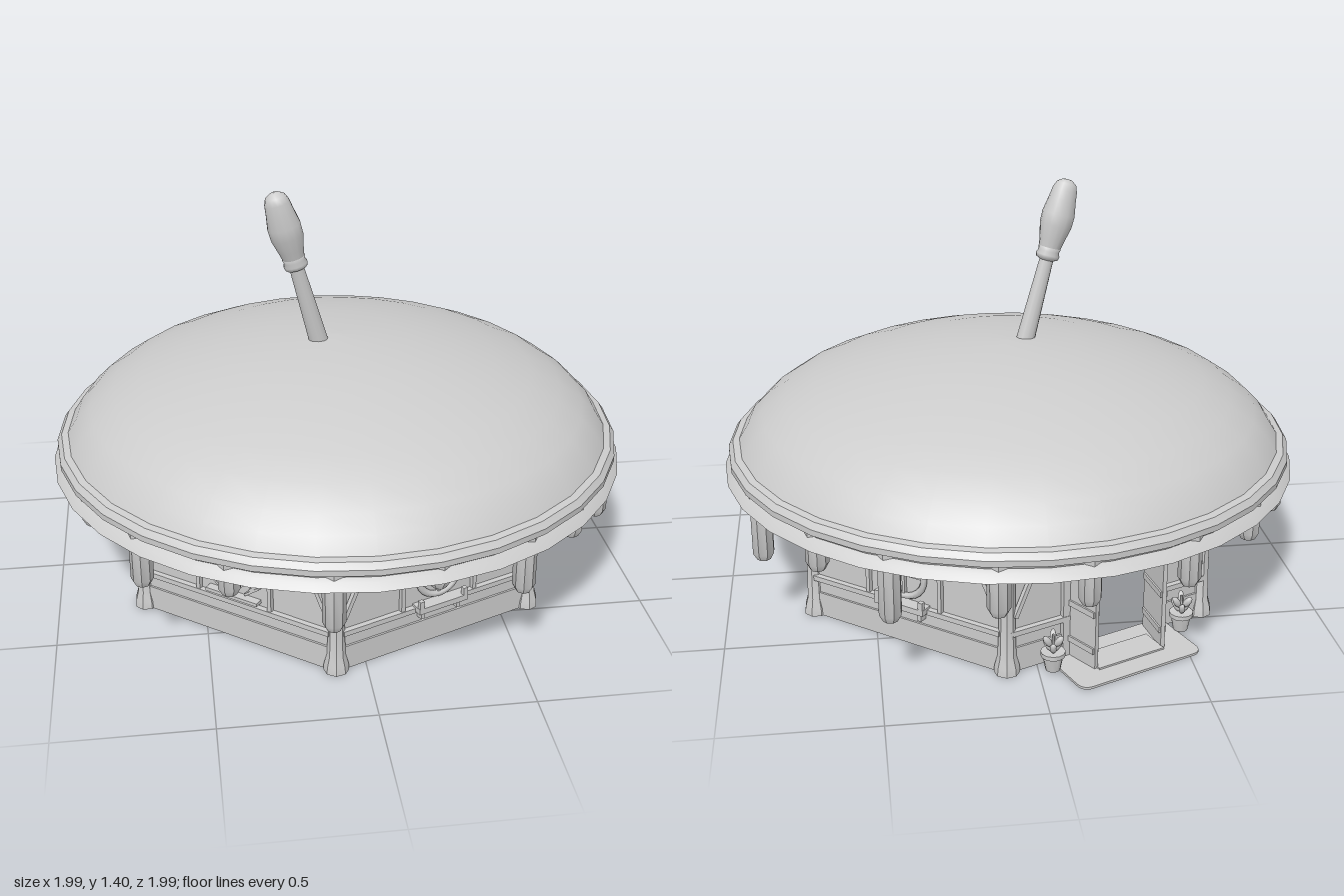
import * as THREE from 'three';
import { toCreasedNormals } from 'three/addons/utils/BufferGeometryUtils.js';

const clay = new THREE.MeshStandardMaterial({ color: 0xcccccc, side: THREE.DoubleSide });
clay.name = 'pale grey';

const SIDE = 0.757, APOTHEM = 0.655, FIRST = 7.6;
const rad = THREE.MathUtils.degToRad;

function add(parent, name, geo, x = 0, y = 0, z = 0) {
  const m = new THREE.Mesh(geo, clay);
  m.name = name;
  m.position.set(x, y, z);
  parent.add(m);
  return m;
}
const box = (parent, name, w, h, d, x, y, z) => add(parent, name, new THREE.BoxGeometry(w, h, d), x, y, z);

function lathe(points, segments, crease) {
  const g = new THREE.LatheGeometry(points.map(p => new THREE.Vector2(p[0], p[1])), segments);
  return crease ? toCreasedNormals(g, crease) : g;
}

// straight timber between two points in the wall plane
function beam(parent, name, x1, y1, x2, y2, thick, z) {
  const m = box(parent, name, Math.hypot(x2 - x1, y2 - y1), thick, 0.016, (x1 + x2) / 2, (y1 + y2) / 2, z);
  m.rotation.z = Math.atan2(y2 - y1, x2 - x1);
}

function heartShape(s) {
  const h = new THREE.Shape();
  h.moveTo(0, -s);
  h.bezierCurveTo(-0.35 * s, -0.6 * s, -s, -0.2 * s, -s, 0.35 * s);
  h.bezierCurveTo(-s, 1.0 * s, -0.15 * s, 1.05 * s, 0, 0.5 * s);
  h.bezierCurveTo(0.15 * s, 1.05 * s, s, 1.0 * s, s, 0.35 * s);
  h.bezierCurveTo(s, -0.2 * s, 0.35 * s, -0.6 * s, 0, -s);
  return h;
}

function heartWindow(wall) {
  const g = new THREE.Group();
  g.name = 'heartWindow';
  wall.add(g);
  add(g, 'heartPane', new THREE.ExtrudeGeometry(heartShape(0.082), { depth: 0.018, bevelEnabled: false }), 0, 0.26, 0.01);
  box(g, 'heartSill', 0.2, 0.012, 0.03, 0, 0.17, 0.022);
  for (const s of [-1, 1]) {
    for (let i = 0; i < 3; i++) beam(g, 'heartStrut', s * (0.045 + i * 0.018), 0.185 + i * 0.022, s * 0.1, 0.225 + i * 0.022 - i * 0.01, 0.008, 0.016);
    beam(g, 'heartCorner', s * 0.075, 0.315, s * 0.115, 0.345, 0.012, 0.016);
  }
}

function roundWindow(wall) {
  const g = new THREE.Group();
  g.name = 'roundWindow';
  wall.add(g);
  add(g, 'windowRing', new THREE.TorusGeometry(0.079, 0.012, 6, 24), 0, 0.255, 0.016);
  box(g, 'windowMullion', 0.01, 0.15, 0.014, 0, 0.255, 0.014);
  box(g, 'windowTransom', 0.15, 0.01, 0.014, 0, 0.255, 0.014);
  box(g, 'windowSill', 0.19, 0.02, 0.05, 0, 0.15, 0.028);
  for (const s of [-1, 1]) {
    box(g, 'sillBracket', 0.014, 0.035, 0.03, s * 0.07, 0.125, 0.02);
    box(g, 'sillPeg', 0.016, 0.03, 0.016, s * 0.085, 0.172, 0.045);
  }
}

// bead strings hanging under the eaves
function dangles(wall, spots) {
  for (const [x, low] of spots) {
    box(wall, 'dangleString', 0.003, 0.46 - low, 0.003, x, (0.46 + low) / 2, 0.025);
    for (let i = 0; i < 2; i++) {
      const b = add(wall, 'dangleBead', new THREE.SphereGeometry(0.013, 8, 6), x, low + i * 0.05, 0.025);
      b.scale.y = 1.4;
    }
  }
}

function plainWall(wall, round) {
  box(wall, 'wallPanel', SIDE, 0.46, 0.016, 0, 0.23, 0);
  box(wall, 'skirting', SIDE - 0.05, 0.085, 0.014, 0, 0.043, 0.008);
  box(wall, 'lowRail', SIDE - 0.03, 0.018, 0.026, 0, 0.143, 0.014);
  for (const s of [-1, 1]) box(wall, 'stud', 0.014, 0.31, 0.02, s * 0.14, 0.3, 0.014);
  if (round) roundWindow(wall); else heartWindow(wall);
  dangles(wall, [[-0.24, 0.35], [-0.06, 0.4], [0.19, 0.38], [0.25, 0.36]]);
}

function pottedPlant(parent, x, z) {
  const g = new THREE.Group();
  g.name = 'pottedPlant';
  g.position.set(x, 0.008, z);
  parent.add(g);
  add(g, 'pot', lathe([[0, 0], [0.024, 0], [0.034, 0.05], [0.04, 0.05], [0.04, 0.065], [0.03, 0.065], [0, 0.058]], 12, 0.6));
  for (let i = 0; i < 6; i++) {
    const a = i * Math.PI / 3;
    const leaf = add(g, 'leaf', new THREE.SphereGeometry(0.02, 6, 5), Math.cos(a) * 0.02, 0.085 + (i % 2) * 0.02, Math.sin(a) * 0.02);
    leaf.scale.set(0.6, 1.3, 0.6);
    leaf.rotation.set(Math.sin(a) * 0.6, 0, -Math.cos(a) * 0.6);
  }
  add(g, 'stem', new THREE.CylinderGeometry(0.004, 0.004, 0.07, 5), 0, 0.09, 0);
}

function doorWall(wall) {
  const half = 0.16, pier = SIDE / 2 - half;
  box(wall, 'lintel', half * 2, 0.05, 0.016, 0, 0.435, 0);
  box(wall, 'doorHead', half * 2 + 0.06, 0.025, 0.035, 0, 0.405, 0.008);
  for (const s of [-1, 1]) {
    const x = s * (half + pier / 2);
    box(wall, 'wallPier', pier, 0.46, 0.016, x, 0.23, 0);
    box(wall, 'skirting', pier, 0.085, 0.014, x, 0.043, 0.008);
    box(wall, 'lowRail', pier, 0.018, 0.026, x, 0.143, 0.014);
    box(wall, 'doorJamb', 0.025, 0.41, 0.035, s * (half + 0.012), 0.205, 0.008);
    // leaf of the double door, swung inward
    const leaf = new THREE.Group();
    leaf.name = 'doorLeaf';
    leaf.position.set(s * half, 0, -0.01);
    leaf.rotation.y = s * rad(78);
    wall.add(leaf);
    box(leaf, 'doorPanel', 0.15, 0.385, 0.014, -s * 0.075, 0.2, 0);
    for (const y of [0.07, 0.2, 0.33]) box(leaf, 'doorBatten', 0.14, 0.02, 0.026, -s * 0.075, y, 0);
    pottedPlant(wall, s * 0.25, 0.07);
  }
  // doorstep and mat
  const w = 0.23, d = 0.24, r = 0.04;
  const step = new THREE.Shape();
  step.moveTo(-w, 0);
  step.lineTo(w, 0);
  step.lineTo(w, -d + r);
  step.quadraticCurveTo(w, -d, w - r, -d);
  step.lineTo(-w + r, -d);
  step.quadraticCurveTo(-w, -d, -w, -d + r);
  add(wall, 'doorstep', new THREE.ExtrudeGeometry(step, { depth: 0.008, bevelEnabled: false }), 0, 0, -0.02).rotation.x = -Math.PI / 2;
  box(wall, 'doormat', 0.25, 0.006, 0.1, 0, 0.011, 0.1);
  dangles(wall, [[-0.27, 0.36], [0.27, 0.36], [0.22, 0.39]]);
}

export function createModel() {
  const model = new THREE.Group();
  model.name = 'domedHut';

  // six walls with corner posts
  for (let i = 0; i < 6; i++) {
    const a = rad(FIRST + i * 60), c = a + rad(30);
    const wall = new THREE.Group();
    wall.name = i === 4 ? 'doorWall' : 'wall';
    wall.position.set(Math.cos(a) * APOTHEM, 0, Math.sin(a) * APOTHEM);
    wall.rotation.y = Math.PI / 2 - a;
    model.add(wall);
    if (i === 4) doorWall(wall); else plainWall(wall, i % 2 === 1);
    for (const s of [-1, 1]) beam(wall, 'cornerBrace', s * 0.36, 0.2, s * 0.3, 0.33, 0.014, 0.02);
    const post = add(model, 'cornerPost', lathe([[0, 0], [0.042, 0], [0.04, 0.025], [0.03, 0.06], [0.026, 0.2],
      [0.027, 0.38], [0.038, 0.42], [0.038, 0.47], [0, 0.47]], 8, 0.5), Math.cos(c) * SIDE, 0, Math.sin(c) * SIDE);
    post.rotation.y = -c;
  }

  // roof dome, rim and soffit
  add(model, 'roofDome', lathe([[0.945, 0.53], [0.91, 0.585], [0.86, 0.635], [0.78, 0.69], [0.68, 0.735], [0.55, 0.778],
    [0.4, 0.815], [0.25, 0.84], [0.1, 0.853], [0, 0.856]], 32));
  add(model, 'roofRim', lathe([[0.93, 0.46], [0.995, 0.443], [0.975, 0.465], [0.96, 0.475], [0.965, 0.485], [0.98, 0.49],
    [0.98, 0.51], [0.965, 0.53], [0.94, 0.535]], 32, 0.5));
  add(model, 'soffit', lathe([[0.66, 0.46], [0.94, 0.46]], 32));

  // icing drips around the eaves: angle in degrees, lowest height
  const drips = [[-2, 0.34], [19, 0.24], [42, 0.36], [58, 0.27], [78, 0.39], [98, 0.27], [118, 0.36], [139, 0.28], [157, 0.37],
    [180, 0.285], [200, 0.3], [220, 0.34], [240, 0.3], [262, 0.32], [279, 0.3], [300, 0.24], [317, 0.34], [338, 0.24]];
  for (const [deg, low] of drips) {
    const a = rad(deg), r = 0.037, h = 0.485 - low;
    const g = lathe([[0, 0], [r * 0.65, 0.006], [r, 0.03], [r, h], [0, h]], 8, 0.6);
    add(model, 'drip', g, Math.cos(a) * 0.93, low, Math.sin(a) * 0.93).rotation.y = -a;
  }

  // leaning handle through the roof
  const foot = new THREE.Vector3(-0.052, 0.8, 0.025), tip = new THREE.Vector3(-0.215, 1.395, 0.085);
  const axis = tip.clone().sub(foot);
  const handle = new THREE.Group();
  handle.name = 'handle';
  handle.position.copy(foot);
  handle.quaternion.setFromUnitVectors(new THREE.Vector3(0, 1, 0), axis.clone().normalize());
  handle.scale.z = 0.85;
  model.add(handle);
  add(handle, 'handleShaft', new THREE.CylinderGeometry(0.024, 0.034, 0.36, 12), 0, 0.18, 0);
  add(handle, 'handleCollar', lathe([[0.022, 0.335], [0.038, 0.342], [0.042, 0.355], [0.036, 0.368], [0.04, 0.38], [0.03, 0.39]], 14));
  add(handle, 'handleGrip', lathe([[0.034, 0.36], [0.044, 0.41], [0.056, 0.46], [0.057, 0.5], [0.048, 0.55],
    [0.043, 0.585], [0.034, 0.608], [0.016, 0.62], [0, 0.622]], 14));

  return model;
}
